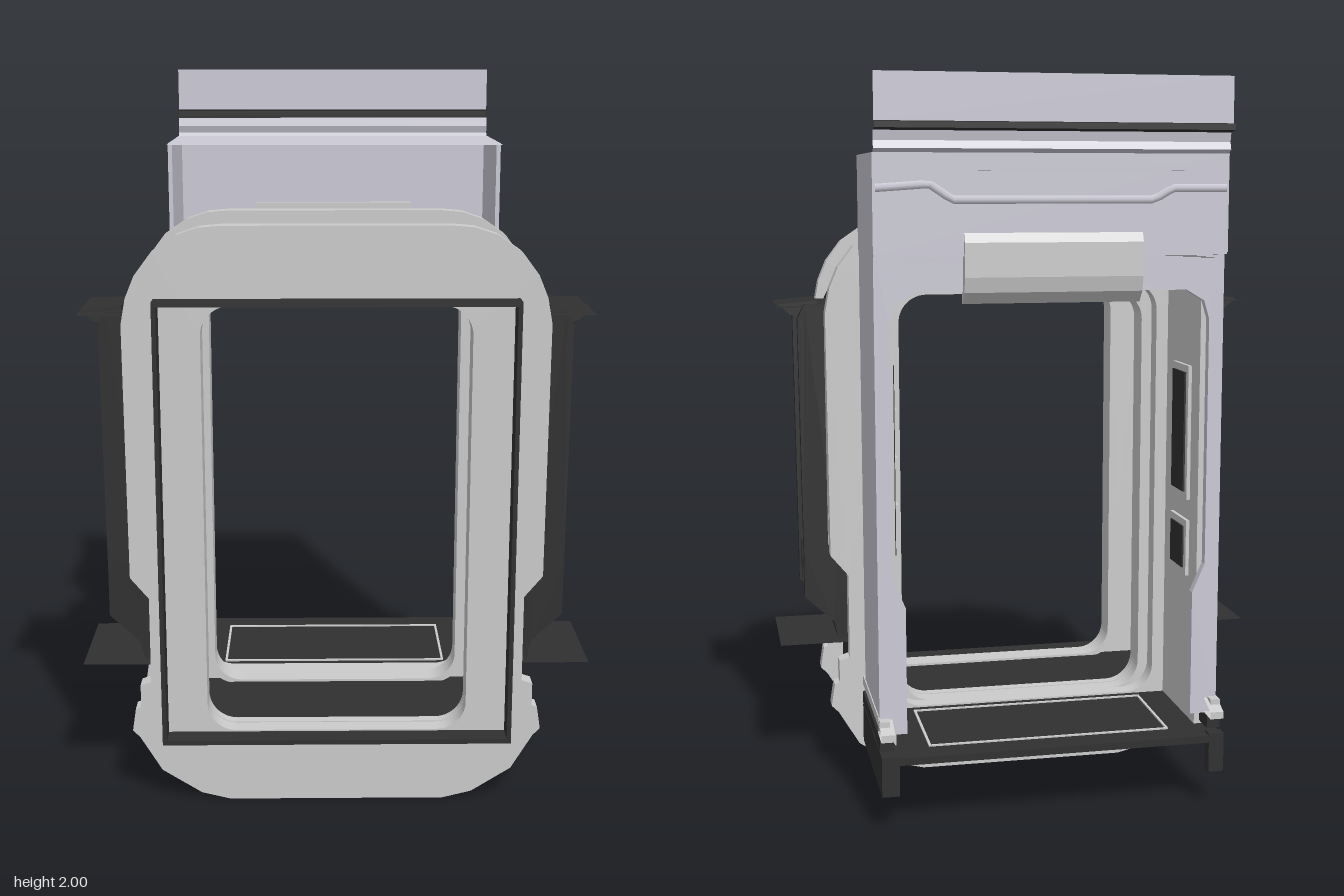
import * as THREE from 'three';

const LIGHT = 0xcccccc, PANEL = 0xcbcad6, DARK = 0x303030;
const mats = {};
const mat = (c) => (mats[c] ??= new THREE.MeshStandardMaterial({ color: c, side: THREE.DoubleSide }));

export function createModel() {
  const root = new THREE.Group();
  const add = (name, geo, color = LIGHT) => {
    const m = new THREE.Mesh(geo, mat(color));
    m.name = name;
    root.add(m);
    return m;
  };
  // Box given by its limits
  const box = (name, x0, x1, y0, y1, z0, z1, color) => {
    const m = add(name, new THREE.BoxGeometry(Math.abs(x1 - x0), y1 - y0, z1 - z0), color);
    m.position.set((x0 + x1) / 2, (y0 + y1) / 2, (z0 + z1) / 2);
    return m;
  };
  const vectors = (pts, s = 1) => pts.map(([x, y]) => new THREE.Vector2(s * x, y));
  // Mirrors a right-hand outline (bottom to top) into a closed one
  const mirrored = (pts) => [...vectors(pts), ...vectors(pts, -1).reverse()];
  const square = (w, y0, y1, Type) => new Type(mirrored([[w, y0], [w, y1]]));
  const rounded = (w, y0, y1, r, path = new THREE.Path()) => path
    .moveTo(w - r, y0).absarc(w - r, y0 + r, r, -Math.PI / 2, 0).absarc(w - r, y1 - r, r, 0, Math.PI / 2)
    .absarc(r - w, y1 - r, r, Math.PI / 2, Math.PI).absarc(r - w, y0 + r, r, Math.PI, Math.PI * 1.5);
  // Slab with an optional hole between two depths
  const slab = (name, shape, hole, z0, z1, color) => {
    if (hole) shape.holes.push(hole);
    const geo = new THREE.ExtrudeGeometry(shape, { depth: z1 - z0, bevelEnabled: false, curveSegments: 6 });
    geo.translate(0, 0, z0);
    return add(name, geo, color);
  };
  // Thin sheet swept along x from a profile of [y, z] points
  const sheet = (name, x0, x1, profile, color) => {
    const geo = new THREE.PlaneGeometry(1, 1, 1, profile.length - 1);
    const p = geo.attributes.position;
    for (let i = 0; i < p.count; i++) {
      const [y, z] = profile[i >> 1];
      p.setXYZ(i, i % 2 ? x1 : x0, y, z);
    }
    const flat = geo.toNonIndexed();
    flat.computeVertexNormals();
    return add(name, flat, color);
  };

  // Two large ring frames with notched sides
  const ringOutline = [[0.3, 0], [0.38, 0.02], [0.49, 0.09], [0.55, 0.19], [0.57, 0.21], [0.56, 0.275],
    [0.545, 0.28], [0.545, 0.345], [0.515, 0.355], [0.515, 0.6], [0.565, 0.66], [0.568, 1.36], [0.555, 1.43],
    [0.53, 1.49], [0.485, 1.55], [0.42, 1.595], [0.36, 1.615], [0.3, 1.62]];
  for (const [name, z0, z1] of [['frontRing', 0.36, 0.41], ['middleRing', -0.02, 0.03]])
    slab(name, new THREE.Shape(mirrored(ringOutline)), rounded(0.36, 0.21, 1.41, 0.08), z0, z1);
  for (const [z0, z1] of [[0.33, 0.36], [0.03, 0.06]])
    slab('openingLiner', rounded(0.39, 0.2, 1.44, 0.1, new THREE.Shape()),
      rounded(0.36, 0.212, 1.41, 0.08), z0, z1);

  // Square seal in front of the front ring
  slab('frontSeal', square(0.481, 0.195, 1.43, THREE.Shape), square(0.469, 0.208, 1.417, THREE.Path),
    0.415, 0.475, DARK);

  // Dark shroud between the rings, a shell that follows the side notches
  const shroud = [[0.5, 0.19], [0.5, 0.6], [0.55, 0.66], [0.55, 1.36], [0.5, 1.46], [0.42, 1.52], [0.32, 1.53]];
  const shroudInside = [[0.48, 0.205], [0.48, 0.61], [0.53, 0.67], [0.53, 1.35], [0.485, 1.44], [0.41, 1.5], [0.31, 1.51]];
  slab('shroud', new THREE.Shape(mirrored(shroud)), new THREE.Path(mirrored(shroudInside)), 0.035, 0.355, DARK);
  box('topRib', -0.055, 0.055, 1.52, 1.545, 0.04, 0.35, DARK);
  for (const s of [-1, 1]) {
    for (const [x, a] of [[0.18, 0.6], [0.33, -0.6]])
      box('diagonalRib', s * x - 0.025, s * x + 0.025, 1.52, 1.537, 0.06, 0.33, DARK).rotation.y = s * a;
    for (const z of [0.055, 0.335]) {
      box('topClip', s * 0.29, s * 0.33, 1.515, 1.565, z - 0.02, z + 0.02, DARK);
      box('sideTrim', s * 0.54, s * 0.565, 0.68, 1.32, z - 0.015, z + 0.015, LIGHT);
    }
  }

  // Side pods with raised edges, a hooked cap and thin horizontal shelves
  const podProfile = [[0.5, 0.39], [0.54, 0.39], [0.55, 0.44], [0.635, 0.52], [0.635, 0.66], [0.64, 1.34],
    [0.62, 1.38], [0.54, 1.38], [0.54, 0.68], [0.5, 0.6]];
  const podCore = podProfile.map(([x, y]) => [Math.min(x, 0.62), y]);
  const hook = [[0.58, 1.35], [0.64, 1.345], [0.66, 1.35], [0.69, 1.38], [0.58, 1.39]];
  for (const s of [-1, 1]) {
    slab('sidePodCore', new THREE.Shape(vectors(podCore, s)), null, 0.1, 0.29, DARK);
    for (const z of [0.065, 0.29])
      slab('sidePodEdge', new THREE.Shape(vectors(podProfile, s)), null, z, z + 0.035, DARK);
    slab('podCap', new THREE.Shape(vectors(hook, s)), null, 0.1, 0.29, DARK);
    sheet('upperShelf', s * 0.55, s * 0.695, [[1.375, 0.035], [1.375, 0.355]], DARK);
    sheet('lowerShelf', s * 0.5, s * 0.71, [[0.385, 0.035], [0.385, 0.355]], DARK);
    for (const z of [0.14, 0.25]) box('podFoot', s * 0.54, s * 0.63, 0.53, 0.65, z - 0.015, z + 0.015, DARK);
  }

  // Collar joining the middle ring to the rear housing
  slab('collar', square(0.47, 0.19, 1.54, THREE.Shape), rounded(0.39, 0.21, 1.44, 0.08), -0.07, -0.02);

  // Rear housing: side walls, inner liners and sills
  for (const s of [-1, 1]) {
    box('housingWall', s * 0.455, s * 0.475, 0.3, 1.54, -0.41, -0.07, PANEL);
    box('wallLiner', s * 0.425, s * 0.455, 0.205, 1.5, -0.37, -0.07, LIGHT);
    box('upperSideWall', s * 0.465, s * 0.477, 1.54, 1.8, -0.43, -0.07, PANEL);
    box('sideSill', s * 0.45, s * 0.477, 0.27, 0.297, -0.44, -0.02, LIGHT);
    // Tapering nose of the sill behind the wall
    sheet('sillNose', s * 0.44, s * 0.478, [[0.297, -0.4], [0.27, -0.47], [0.25, -0.47], [0.255, -0.39]], LIGHT);
    box('skirtTrim', s * 0.44, s * 0.478, 0.215, 0.25, -0.44, -0.015, DARK);
  }
  // Full-length skirt on the left, only a corner fin on the right
  box('floorSkirt', 0.43, 0.478, 0.1, 0.21, -0.475, -0.015, DARK);
  box('cornerFin', -0.478, -0.435, 0.1, 0.21, -0.475, -0.44, DARK);

  // Arched rear flange, open at the floor
  const arch = [[0.475, 1.54], [0.475, 0.25], [0.4, 0.25], [0.4, 0.6], [0.435, 0.68], [0.435, 1.36],
    [0.42, 1.41], [0.37, 1.44]];
  slab('rearFlange', new THREE.Shape(mirrored(arch)), null, -0.41, -0.385, PANEL);

  // Framed windows on the inner walls: a tall and a small one, and a grid opposite
  const windowPanel = (s, y0, y1, z0, z1) => {
    box('windowFrame', s * 0.415, s * 0.426, y0 - 0.02, y1 + 0.02, z0 - 0.02, z1 + 0.02, LIGHT);
    box('window', s * 0.41, s * 0.418, y0, y1, z0, z1, DARK);
  };
  windowPanel(-1, 0.86, 1.2, -0.28, -0.17);
  windowPanel(-1, 0.64, 0.76, -0.28, -0.17);
  windowPanel(1, 0.72, 1.24, -0.3, -0.15);
  for (const y of [0.85, 0.98, 1.11]) box('gridBar', 0.402, 0.412, y - 0.01, y + 0.01, -0.3, -0.15, LIGHT);
  box('gridBar', 0.402, 0.412, 0.72, 1.24, -0.235, -0.215, LIGHT);

  // Header box: dark ceiling, rear panel, roof and the upright strip
  box('ceiling', -0.465, 0.465, 1.525, 1.54, -0.41, -0.07, DARK);
  box('ceilingLiner', -0.425, 0.425, 1.45, 1.47, -0.37, -0.07, LIGHT);
  box('headerPanel', -0.475, 0.475, 1.535, 1.8, -0.43, -0.415, PANEL);
  const strip = (name, profile, color) => sheet(name, -0.475, 0.475, profile, color);
  strip('roof', [[1.8, 0], [1.8, -0.44]], PANEL);
  strip('roofLip', [[1.8, -0.43], [1.81, -0.447], [1.83, -0.44], [1.855, -0.445]], PANEL);
  strip('darkGroove', [[1.855, -0.445], [1.86, -0.478], [1.875, -0.478], [1.88, -0.445]], DARK);
  strip('uprightStrip', [[1.878, -0.462], [2, -0.462]], PANEL);

  // Stepped moulding on the header and the curved flap below it
  const rail = [[-0.47, 1.71], [-0.32, 1.71], [-0.27, 1.68], [0.27, 1.68], [0.33, 1.72], [0.47, 1.71]]
    .map(([x, y]) => new THREE.Vector3(x, y, -0.427));
  const railPath = new THREE.CurvePath();
  rail.slice(1).forEach((p, i) => railPath.add(new THREE.LineCurve3(rail[i], p)));
  add('headerMoulding', new THREE.TubeGeometry(railPath, 40, 0.012, 6), PANEL);
  box('headerBead', -0.475, 0.475, 1.755, 1.77, -0.437, -0.42, PANEL);
  const flap = [[-0.412, 1.6], [-0.43, 1.595], [-0.44, 1.57], [-0.44, 1.48], [-0.43, 1.44],
    [-0.405, 1.41], [-0.39, 1.41], [-0.39, 1.6]];
  const flapGeo = new THREE.ExtrudeGeometry(new THREE.Shape(vectors(flap.map(([z, y]) => [-z, y]))),
    { depth: 0.48, bevelEnabled: false });
  flapGeo.rotateY(Math.PI / 2).translate(-0.24, 0, 0);
  add('rearFlap', flapGeo, LIGHT);

  // Dark floor with an inset mat line above and below
  box('floor', -0.475, 0.475, 0.185, 0.205, -0.475, 0.035, DARK);
  for (const y of [0.185, 0.209]) {
    const trim = slab('floorMatTrim', square(0.34, -0.16, 0.14, THREE.Shape),
      square(0.333, -0.153, 0.133, THREE.Path), 0, 0.006, LIGHT);
    trim.rotation.x = Math.PI / 2;
    trim.position.set(0, y, -0.24);
  }
  return root;
}
